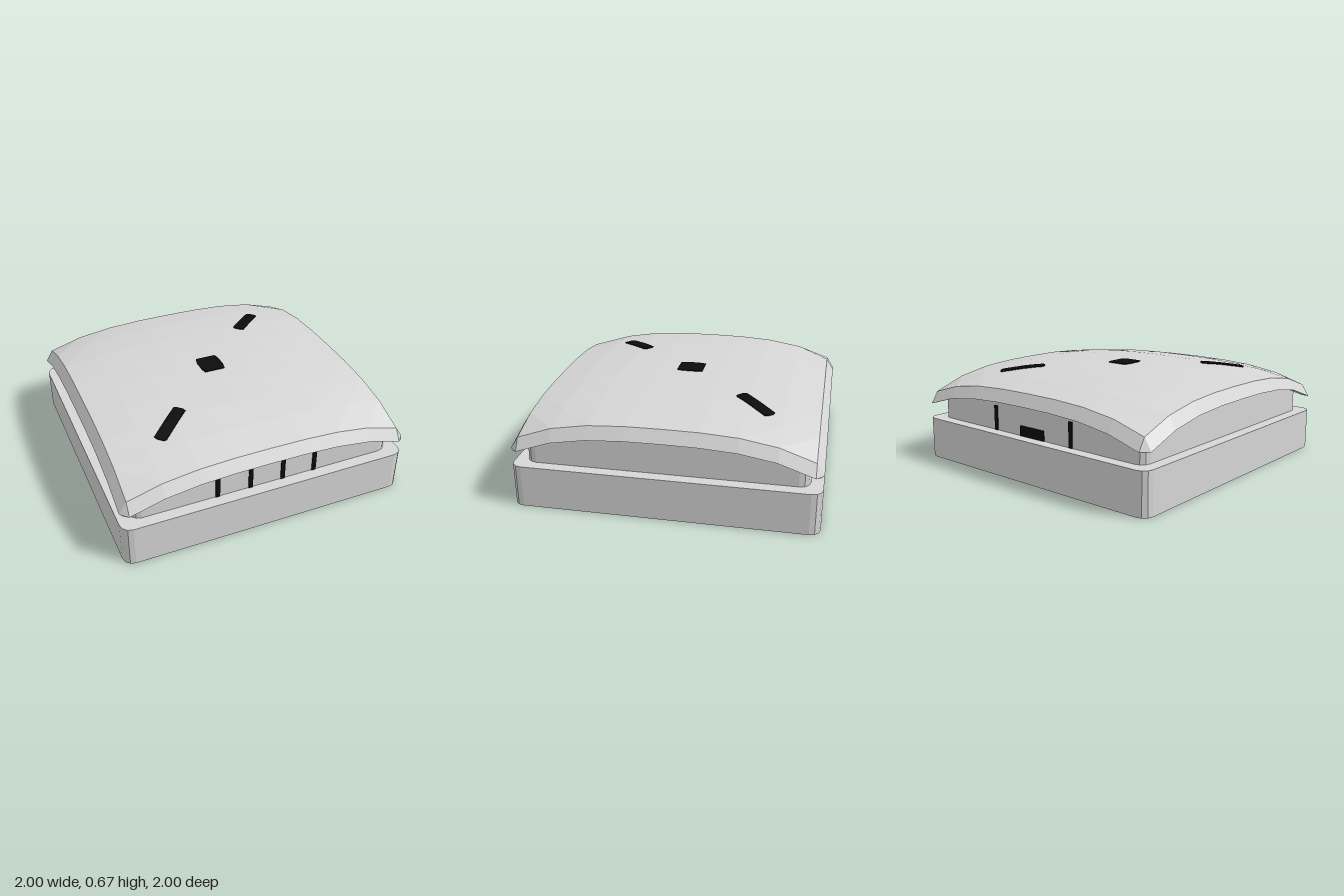
import * as THREE from 'three';

const STOPS = [-0.95, -0.72, -0.48, -0.24, 0, 0.24, 0.48, 0.72, 0.95];
const LIP_DROP = 0.08;
const BASE_TOP = 0.285;

// Domed top: falls towards each edge, with an extra drop at the corners
function dome(x, z) {
  const u = Math.min(Math.abs(x) / 0.95, 1);
  const v = Math.min(Math.abs(z) / 0.95, 1);
  return 0.667 - 0.055 * u ** 2.4 - 0.08 * v ** 2.6 - 0.06 * (u * v) ** 4;
}

// Height of the faceted dome between the grid stops
function facetedDome(x, z) {
  const cell = (t) => {
    let i = 0;
    while (i < STOPS.length - 2 && t > STOPS[i + 1]) i++;
    return [STOPS[i], STOPS[i + 1], (t - STOPS[i]) / (STOPS[i + 1] - STOPS[i])];
  };
  const [x0, x1, a] = cell(x);
  const [z0, z1, b] = cell(z);
  const near = dome(x0, z0) * (1 - a) + dome(x1, z0) * a;
  const far = dome(x0, z1) * (1 - a) + dome(x1, z1) * a;
  return near * (1 - b) + far * b;
}

// One face of the lid as a grid; the outermost ring is the lowered lip
function lidSheet(underside) {
  const stops = [-1, ...STOPS, 1];
  const n = stops.length;
  const positions = [];
  const index = [];
  for (const z of stops) {
    for (const x of stops) {
      const edgeX = Math.abs(x) === 1;
      const edgeZ = Math.abs(z) === 1;
      const pull = edgeX && edgeZ ? 0.98 : 1;
      const drop = underside || edgeX || edgeZ ? LIP_DROP : 0;
      positions.push(x * pull, dome(x, z) - drop, z * pull);
    }
  }
  for (let j = 0; j < n - 1; j++) {
    for (let i = 0; i < n - 1; i++) {
      const a = j * n + i, b = a + 1, c = a + n, d = c + 1;
      // Diagonals run symmetrically so that the corners match
      const tris = (i < n / 2 - 0.5) === (j < n / 2 - 0.5)
        ? [a, c, b, b, c, d] : [a, c, d, a, d, b];
      if (underside) tris.reverse();
      index.push(...tris);
    }
  }
  const g = new THREE.BufferGeometry();
  g.setAttribute('position', new THREE.Float32BufferAttribute(positions, 3));
  g.setIndex(index);
  g.computeVertexNormals();
  return g;
}

// Upright block with rounded corners, its straight sides split for bending
function roundedBlock(half, radius, bottom, topAt) {
  const points = [];
  const inner = half - radius;
  for (let k = 0; k < 4; k++) {
    const turn = (k * Math.PI) / 2;
    const add = (x, y) => points.push(new THREE.Vector2(x, y).rotateAround(new THREE.Vector2(), turn));
    for (let s = 0; s < 8; s++) add(half, -inner + (2 * inner * s) / 8);
    for (let s = 0; s < 3; s++) {
      const t = (s * Math.PI) / 6;
      add(inner + radius * Math.cos(t), inner + radius * Math.sin(t));
    }
  }
  const g = new THREE.ExtrudeGeometry(new THREE.Shape(points), { depth: 1, bevelEnabled: false });
  g.rotateX(-Math.PI / 2);
  const p = g.attributes.position;
  for (let i = 0; i < p.count; i++) {
    p.setY(i, p.getY(i) > 0.5 ? topAt(p.getX(i), p.getZ(i)) : bottom);
  }
  g.computeVertexNormals();
  return g;
}

// Thin plate with clipped corners, draped over the dome
function drapedPlate(cx, cz, length, width, angle) {
  const g = new THREE.BoxGeometry(length, 0.008, width, 12, 1, 4);
  const p = g.attributes.position;
  for (let i = 0; i < p.count; i++) {
    const x = p.getX(i), z = p.getZ(i);
    if (Math.abs(x) > length / 2 - 1e-4 && Math.abs(z) > width / 2 - 1e-4) {
      p.setX(i, x - Math.sign(x) * 0.01);
    }
  }
  g.rotateY(angle);
  for (let i = 0; i < p.count; i++) {
    const x = p.getX(i) + cx, z = p.getZ(i) + cz;
    p.setXYZ(i, x, facetedDome(x, z) + p.getY(i) + 0.003, z);
  }
  g.computeVertexNormals();
  return g;
}

export function createModel() {
  const model = new THREE.Group();
  const grey = new THREE.MeshStandardMaterial({ color: 0xd6d6d6, flatShading: true });
  grey.name = 'light grey';
  const black = new THREE.MeshStandardMaterial({ color: 0x0c0c0c, flatShading: true });
  black.name = 'black';

  const add = (name, geometry, material) => {
    const mesh = new THREE.Mesh(geometry, material);
    mesh.name = name;
    model.add(mesh);
    return mesh;
  };

  // Base and the recessed body whose top follows the lid
  add('base', roundedBlock(1, 0.07, 0, () => BASE_TOP), grey);
  add('body', roundedBlock(0.92, 0.07, BASE_TOP, (x, z) => dome(x, z) - LIP_DROP + 0.02), grey);

  // Domed lid
  add('lidTop', lidSheet(false), grey);
  add('lidUnderside', lidSheet(true), grey);

  // Markings on the lid
  add('centreMark', drapedPlate(-0.01, 0, 0.165, 0.18, 0), black);
  for (const side of [1, -1]) {
    add('diagonalMark', drapedPlate(side * 0.508, side * -0.522, 0.315, 0.085, Math.PI / 4), black);
  }

  // Slots on the front and back walls
  const slot = (name, x, width, height, side) => {
    const mesh = add(name, new THREE.BoxGeometry(width, height, 0.008), black);
    mesh.position.set(x, BASE_TOP + height / 2, side * 0.922);
  };
  for (const x of [-0.345, -0.115, 0.115, 0.345]) slot('frontSlot', x, 0.03, 0.17, 1);
  for (const x of [-0.345, 0.345]) slot('backSlot', x, 0.03, 0.17, -1);
  slot('backPort', 0, 0.22, 0.07, -1);

  return model;
}
